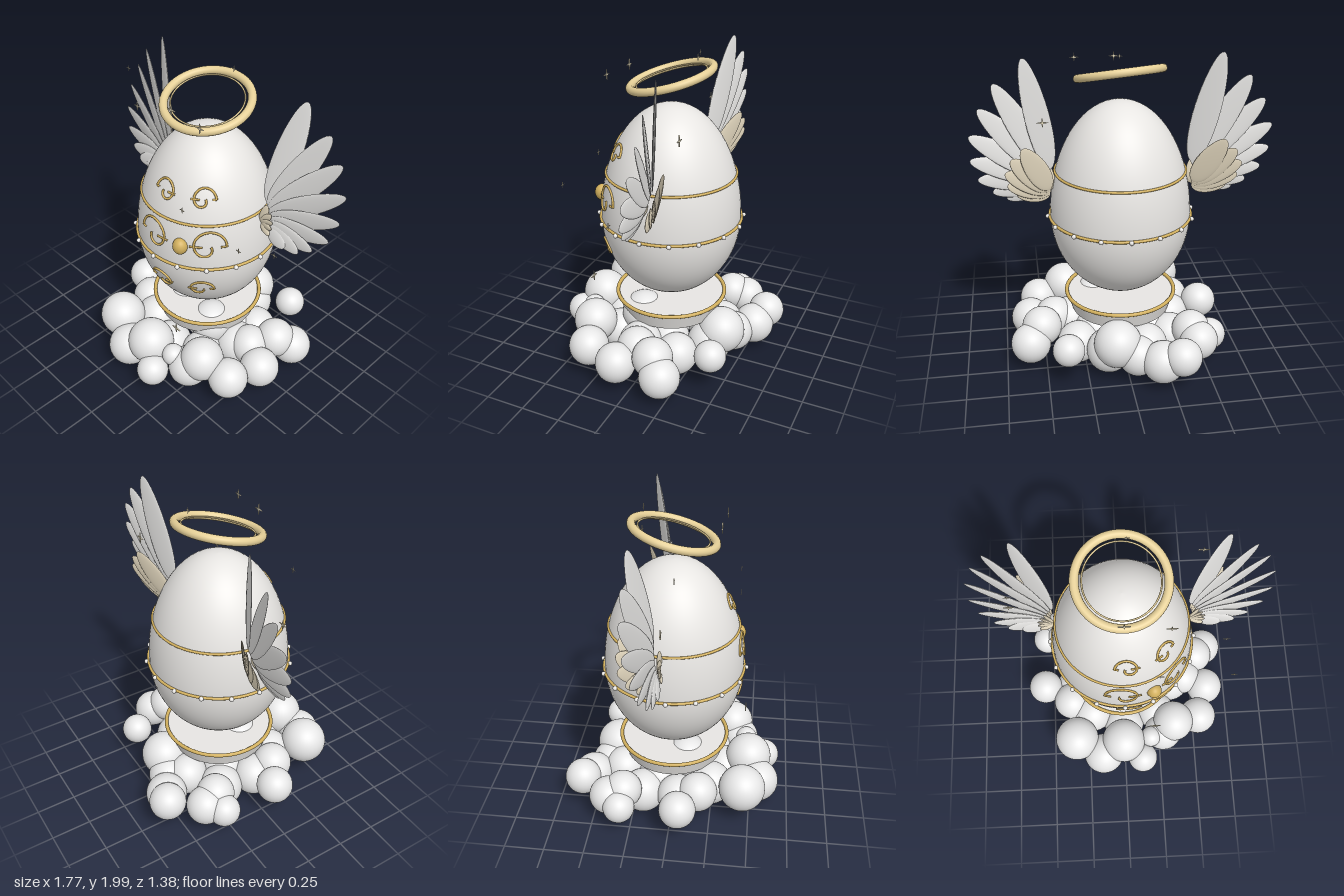
import * as THREE from 'three';

const mat = (name, color) => {
  const m = new THREE.MeshStandardMaterial({ color });
  m.name = name;
  return m;
};

export function createModel() {
  const shell = mat('shellWhite', 0xf4f2ef);
  const cloud = mat('cloudWhite', 0xf3f3f3);
  const plume = mat('featherWhite', 0xf1f0ee);
  const cream = mat('cream', 0xeee2c8);
  const gold = mat('gold', 0xd2b05e);
  const paleGold = mat('paleGold', 0xe6d098);
  const spark = mat('sparkle', 0xf0e6c8);

  const model = new THREE.Group();
  const CZ = -0.018;
  const body = new THREE.Group();
  body.name = 'body';
  body.position.z = CZ;
  model.add(body);

  const add = (parent, name, geo, material, x = 0, y = 0, z = 0) => {
    const m = new THREE.Mesh(geo, material);
    m.name = name;
    m.position.set(x, y, z);
    parent.add(m);
    return m;
  };
  const ring = (name, R, tube, y) => {
    add(body, name, new THREE.TorusGeometry(R, tube, 12, 80), gold, 0, y, 0).rotation.x = Math.PI / 2;
  };

  // Egg: two half ellipses joined at the widest level
  const MID = 0.965, LOW = 0.51, HIGH = 0.715, R = 0.433;
  const eggRadius = (y) => {
    const k = (y - MID) / (y > MID ? HIGH : LOW);
    return R * Math.sqrt(Math.max(0, 1 - k * k));
  };
  const profile = [];
  for (let i = 0; i <= 40; i++) {
    const a = -Math.PI / 2 + (Math.PI * i) / 40;
    profile.push(new THREE.Vector2(Math.max(0, R * Math.cos(a)), MID + Math.sin(a) * (a > 0 ? HIGH : LOW)));
  }
  add(body, 'egg', new THREE.LatheGeometry(profile, 64), shell);

  // Bands and beads
  ring('lowerBand', 0.438, 0.009, 0.964);
  ring('upperBand', 0.398, 0.008, 1.254);
  const beadGeo = new THREE.SphereGeometry(0.014, 12, 10);
  for (let i = 0; i < 16; i++) {
    const a = (i * Math.PI) / 8;
    add(body, 'bead', beadGeo, shell, Math.sin(a) * 0.45, 0.964, Math.cos(a) * 0.45);
  }

  // Scrollwork laid on the shell, mirrored about the jewel
  const AZ = 0.39;
  const onEgg = (u, y, lift = 0.004) => {
    const r = eggRadius(y) + lift, a = AZ + u;
    return new THREE.Vector3(Math.sin(a) * r, y, Math.cos(a) * r);
  };
  const tube = (name, pts, radius) =>
    add(body, name, new THREE.TubeGeometry(new THREE.CatmullRomCurve3(pts), pts.length * 3, radius, 8), gold);
  const scroll = (side, spread, y, size, flat) => {
    const r0 = eggRadius(y);
    const at = (u, v) => onEgg(side * (spread - (u * size) / r0), y + v * size * flat);
    const pts = [];
    // wide arch that tightens into a curl on the jewel side
    for (let i = 0; i <= 24; i++) {
      const t = i / 24, a = Math.PI * (1 - t * 2.05);
      const k = Math.pow(Math.max(0, (t - 0.45) / 0.55), 0.7);
      const r = 1 - 0.6 * k;
      pts.push(at(Math.cos(a) * r + 0.36 * k, Math.sin(a) * r));
    }
    tube('scroll', pts, 0.007);
    tube('scrollTick', [at(-1, 0), at(-0.8, 0), at(-0.62, 0)], 0.006);
    tube('scrollTick', [at(0.45, 0), at(0.85, 0), at(1.25, 0)], 0.006);
  };
  for (const s of [-1, 1]) {
    scroll(s, 0.37, 1.40, 0.064, 0.95);
    scroll(s, 0.445, 1.12, 0.097, 1);
    scroll(s, 0.335, 0.785, 0.07, 0.95);
  }
  const jewel = onEgg(0.03, 1.11, 0.002);
  add(body, 'jewel', new THREE.SphereGeometry(0.045, 20, 16), gold, jewel.x, jewel.y, jewel.z).scale.y = 1.15;

  // Halo: thick ring with a fine ring inside, tilted
  const halo = new THREE.Group();
  halo.name = 'halo';
  halo.position.set(0, 1.837, CZ);
  halo.rotation.set(0.248, 0, -0.09);
  model.add(halo);
  for (const [name, r, t] of [['haloRing', 0.25, 0.025], ['haloInnerRing', 0.211, 0.005]])
    add(halo, name, new THREE.TorusGeometry(r, t, 14, 72), paleGold).rotation.x = Math.PI / 2;

  // Wings
  const feather = (name, parent, side, base, tip, width, material) => {
    const a = new THREE.Vector3(side * base[0], base[1], base[2]);
    const b = new THREE.Vector3(side * tip[0], tip[1], tip[2]);
    const Y = b.clone().sub(a), len = Y.length();
    Y.normalize();
    const X = Y.clone().cross(new THREE.Vector3(side * 0.42, 0, 0.9)).normalize();
    const Z = X.clone().cross(Y);
    // thin leaf, widest just below the middle
    const geo = new THREE.SphereGeometry(1, 18, 18), p = geo.attributes.position;
    for (let i = 0; i < p.count; i++) {
      const t = (p.getY(i) + 1) / 2;
      p.setXYZ(i, p.getX(i) * width * (1.1 - 0.25 * t), t * len, p.getZ(i) * 0.009);
    }
    geo.computeVertexNormals();
    const m = add(parent, name, geo, material, a.x, a.y, a.z);
    m.quaternion.setFromRotationMatrix(new THREE.Matrix4().makeBasis(X, Y, Z));
  };
  const flights = [
    [0.565, 1.98, -0.19], [0.73, 1.845, -0.195], [0.82, 1.705, -0.195], [0.88, 1.545, -0.175], [0.885, 1.39, -0.14],
    [0.85, 1.26, -0.11], [0.77, 1.165, -0.08], [0.69, 1.112, -0.06], [0.6, 1.105, -0.045]];
  const coverts = [
    [0.59, 1.48, -0.245], [0.655, 1.42, -0.25], [0.69, 1.34, -0.24], [0.68, 1.25, -0.2], [0.63, 1.175, -0.15]];
  const rootTips = [
    [0.45, 1.33, -0.05], [0.48, 1.28, -0.05], [0.5, 1.235, -0.045], [0.5, 1.19, -0.04], [0.49, 1.14, -0.035]];
  for (const side of [1, -1]) {
    const wing = new THREE.Group();
    wing.name = side > 0 ? 'leftWing' : 'rightWing';
    model.add(wing);
    flights.forEach((t, i) =>
      feather('flightFeather', wing, side, [0.425 + i * 0.006, 1.3 - i * 0.017, -0.095 + i * 0.005], t,
        0.08 - i * 0.0035, plume));
    coverts.forEach((t, i) =>
      feather('covertFeather', wing, side, [0.43, 1.18 - i * 0.01, -0.11 + i * 0.006], t, 0.07 - i * 0.004, cream));
    rootTips.forEach((t) => feather('rootFeather', wing, side, [0.41, 1.18, -0.055], t, 0.026, cream));
  }

  // Stand: shallow disc with a gilded rim
  add(body, 'standDisc', new THREE.CylinderGeometry(0.345, 0.315, 0.1, 64), shell, 0, 0.368, 0);
  ring('standRim', 0.347, 0.012, 0.424);

  // Cloud puffs: x, y, z, radius
  const puffs = [
    [-0.30, 0.235, -0.58, 0.115], [-0.19, 0.18, -0.53, 0.13], [-0.44, 0.22, -0.39, 0.12], [-0.53, 0.21, -0.31, 0.1],
    [-0.41, 0.25, -0.30, 0.12], [-0.545, 0.24, 0.06, 0.115], [-0.33, 0.265, 0.45, 0.147], [-0.15, 0.18, 0.545, 0.137],
    [-0.01, 0.27, 0.48, 0.147], [0.12, 0.18, 0.585, 0.1], [0.18, 0.27, 0.46, 0.07], [0.34, 0.28, 0.36, 0.137],
    [0.27, 0.20, 0.41, 0.13], [0.52, 0.21, 0.31, 0.125], [0.585, 0.19, 0.09, 0.125], [0.595, 0.18, -0.21, 0.125],
    [0.375, 0.26, -0.445, 0.098], [0.07, 0.25, -0.40, 0.147], [-0.05, 0.18, -0.44, 0.125], [0.52, 0.25, -0.13, 0.125],
    [0.43, 0.23, 0.02, 0.125], [-0.36, 0.23, 0.17, 0.125], [-0.1, 0.305, 0.08, 0.145], [0.16, 0.305, 0.1, 0.142]];
  // lower filler puffs around the middle
  for (let i = 0; i < 9; i++) {
    const a = (i / 9) * Math.PI * 2;
    puffs.push([Math.sin(a) * 0.34, 0.15 + 0.02 * (i % 3), Math.cos(a) * 0.34 + CZ, 0.14 - 0.008 * (i % 2)]);
  }
  puffs.push([0, 0.17, 0, 0.15], [0.18, 0.16, -0.08, 0.14], [-0.18, 0.17, -0.1, 0.14]);
  const clouds = new THREE.Group();
  clouds.name = 'clouds';
  model.add(clouds);
  const puffGeo = new THREE.SphereGeometry(1, 32, 24);
  for (const [x, y, z, r] of puffs) add(clouds, 'cloudPuff', puffGeo, cloud, x, y, z).scale.setScalar(r);

  // Floating four-pointed sparkles: x, y, z, size
  const star = new THREE.Shape();
  for (let i = 0; i < 8; i++) {
    const a = (i * Math.PI) / 4, r = i % 2 ? 0.2 : 1;
    star[i ? 'lineTo' : 'moveTo'](Math.cos(a) * r, Math.sin(a) * r);
  }
  const starGeo = new THREE.ExtrudeGeometry(star, { depth: 0.2, bevelEnabled: false });
  const sparkles = [
    [0.03, 1.975, -0.195, 0.02], [0, 1.88, 0.25, 0.033], [0.24, 1.875, 0.27, 0.03], [-0.6, 1.84, 0.05, 0.018],
    [0.47, 1.64, -0.28, 0.033], [-0.63, 1.545, -0.02, 0.03], [0.62, 1.335, 0.36, 0.018], [0.63, 1.14, 0.075, 0.022],
    [0.2, 0.51, 0.44, 0.035], [0.2, 1.38, 0.37, 0.02]];
  for (const [x, y, z, size] of sparkles) add(model, 'sparkle', starGeo, spark, x, y, z).scale.setScalar(size);

  return model;
}
